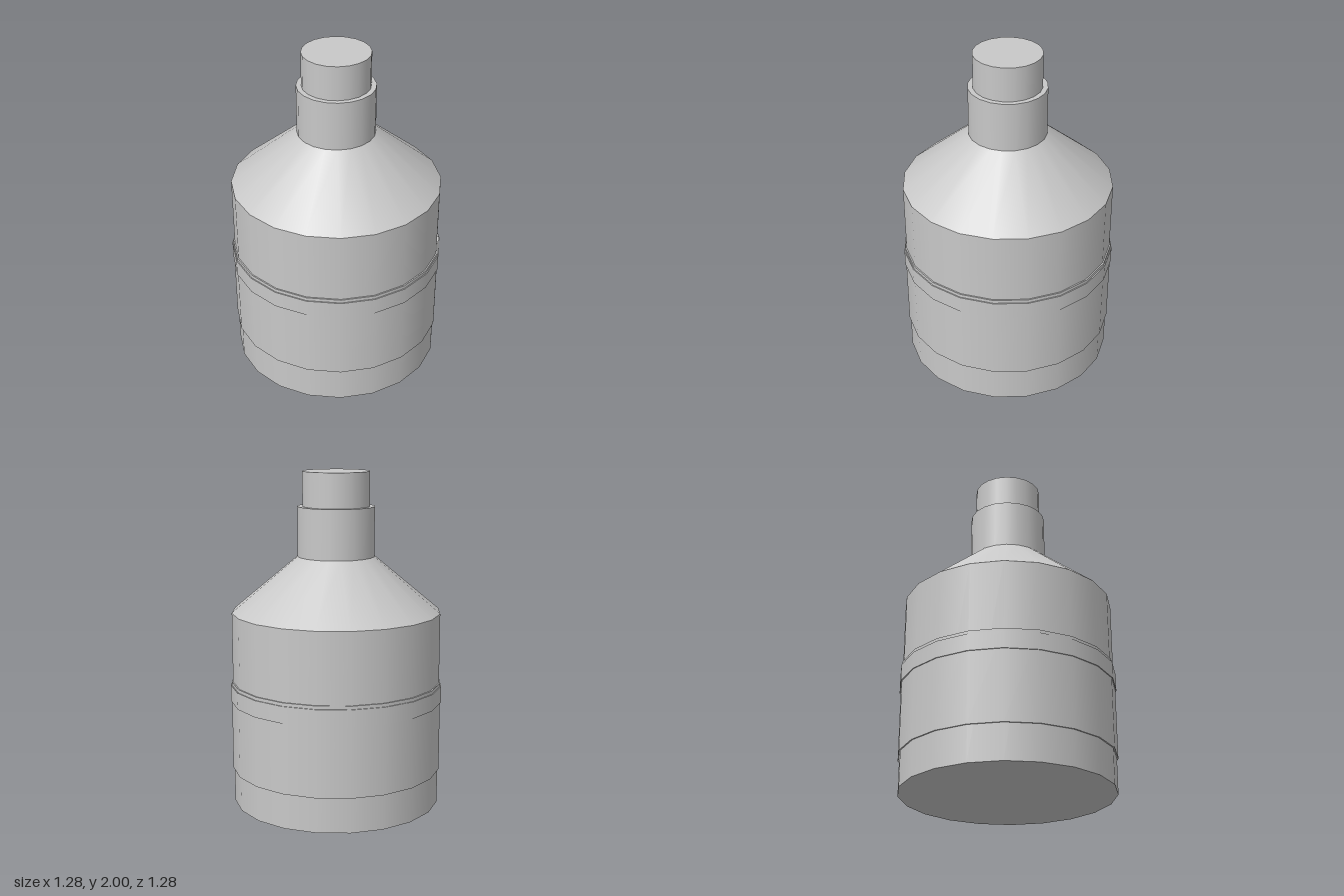
import * as THREE from 'three';

const SIDES = 20;

export function createModel() {
  const model = new THREE.Group();
  model.name = 'bottle';
  const grey = new THREE.MeshStandardMaterial({ color: 0xc8c8c8 });
  grey.name = 'light grey';

  // One closed round section standing between two heights
  function section(name, y0, y1, bottomRadius, topRadius = bottomRadius) {
    const geometry = new THREE.CylinderGeometry(topRadius, bottomRadius, y1 - y0, SIDES);
    const mesh = new THREE.Mesh(geometry, grey);
    mesh.name = name;
    mesh.position.y = (y0 + y1) / 2;
    model.add(mesh);
  }

  // Body and sloping shoulder
  section('body', 0, 1.17, 0.625);
  section('shoulder', 1.17, 1.5, 0.625, 0.23);

  // Thin sleeve around the body, with a raised band near its top
  section('sleeve', 0.21, 0.75, 0.633);
  section('raisedBand', 0.63, 0.73, 0.639);

  // Neck and stopper
  section('neck', 1.5, 1.795, 0.23);
  section('stopper', 1.795, 2, 0.2);

  return model;
}
